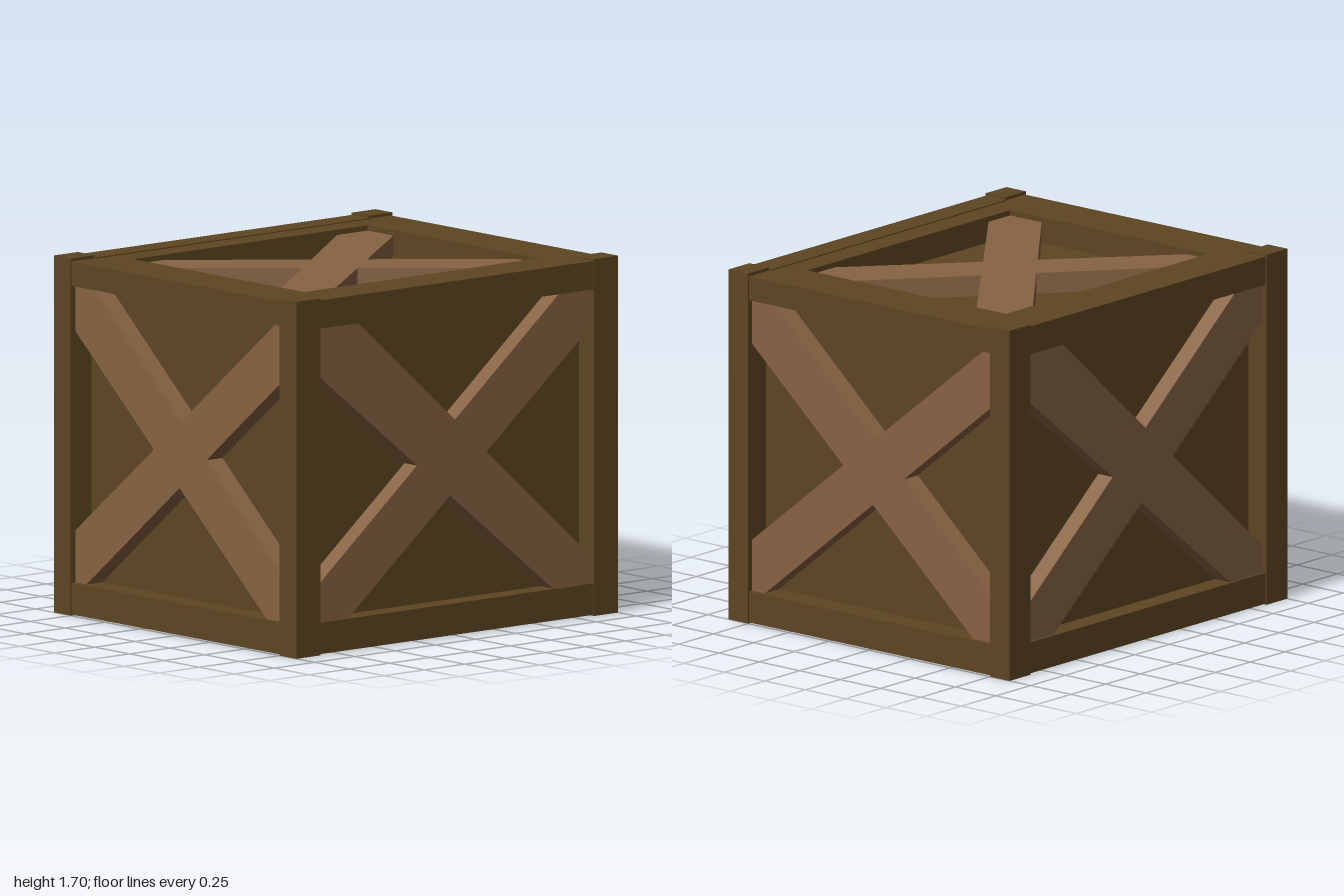
import * as THREE from 'three';

export function createModel() {
  const crate = new THREE.Group();
  crate.name = 'crate';
  const darkWood = new THREE.MeshStandardMaterial({ color: 0x5e4522 });
  darkWood.name = 'darkWood';
  const lightWood = new THREE.MeshStandardMaterial({ color: 0x876343 });
  lightWood.name = 'lightWood';

  // Box given by its minimum and maximum corners
  function box(name, a, b) {
    const mesh = new THREE.Mesh(new THREE.BoxGeometry(b[0] - a[0], b[1] - a[1], b[2] - a[2]), darkWood);
    mesh.position.set((a[0] + b[0]) / 2, (a[1] + b[1]) / 2, (a[2] + b[2]) / 2);
    mesh.name = name;
    crate.add(mesh);
  }

  // Recessed panels are the faces of the inner body
  box('panelBody', [-0.76, 0.14, -0.87], [0.76, 1.56, 0.87]);

  for (const sx of [-1, 1]) {
    const x0 = sx > 0 ? 0.75 : -0.87;
    for (const sz of [-1, 1]) {
      const z0 = sz > 0 ? 0.85 : -1;
      box('cornerPost', [x0, 0, z0], [x0 + 0.12, 1.7, z0 + 0.15]);
    }
    // Side rails along z
    const r0 = sx > 0 ? 0.74 : -0.865;
    box('lowerSideRail', [r0, 0.005, -0.85], [r0 + 0.125, 0.155, 0.85]);
    box('upperSideRail', [r0, 1.555, -0.85], [r0 + 0.125, 1.69, 0.85]);
  }
  for (const sz of [-1, 1]) {
    // End rails along x
    const z0 = sz > 0 ? 0.85 : -0.995;
    box('lowerEndRail', [-0.75, 0.005, z0], [0.75, 0.155, z0 + 0.145]);
    box('upperEndRail', [-0.75, 1.57, z0], [0.75, 1.685, z0 + 0.145]);
  }

  // Flat inner border on the lid and the base
  function border(name, y, height) {
    const shape = new THREE.Shape([[-0.75, -0.86], [0.75, -0.86], [0.75, 0.86], [-0.75, 0.86]].map(p => new THREE.Vector2(...p)));
    shape.holes.push(new THREE.Path([[-0.615, -0.73], [-0.615, 0.73], [0.615, 0.73], [0.615, -0.73]].map(p => new THREE.Vector2(...p))));
    const geo = new THREE.ExtrudeGeometry(shape, { depth: height, bevelEnabled: false });
    geo.rotateX(-Math.PI / 2);
    const mesh = new THREE.Mesh(geo, darkWood);
    mesh.position.y = y;
    mesh.name = name;
    crate.add(mesh);
  }
  border('lidBorder', 1.55, 0.135);
  border('baseBorder', 0.008, 0.142);

  // Crossed braces trimmed to an opening of half size w by h; each cut is
  // [distance of the brace edge along the top or bottom, along the side]
  function cross(name, w, h, depth, cuts) {
    const [tl, tr, br, bl] = cuts;
    const outlines = [
      [[-w, h], [-w, tl[1]], [br[0], -h], [w, -h], [w, br[1]], [tl[0], h]],
      [[w, h], [tr[0], h], [-w, bl[1]], [-w, -h], [bl[0], -h], [w, tr[1]]],
    ];
    const group = new THREE.Group();
    group.name = name;
    for (const pts of outlines) {
      const shape = new THREE.Shape(pts.map(p => new THREE.Vector2(...p)));
      const brace = new THREE.Mesh(new THREE.ExtrudeGeometry(shape, { depth, bevelEnabled: false }), lightWood);
      brace.name = 'brace';
      group.add(brace);
    }
    crate.add(group);
    return group;
  }

  const endCuts = [[-0.62, 0.49], [0.69, 0.45], [0.62, -0.5], [-0.67, -0.46]];
  const sideCuts = [[-0.6, 0.475], [0.65, 0.525], [0.61, -0.575], [-0.66, -0.525]];
  const lidCuts = [[-0.43, 0.54], [0.44, 0.53], [0.42, -0.575], [-0.48, -0.54]];

  for (const s of [1, -1]) {
    const turn = s > 0 ? 0 : Math.PI;
    const end = cross(s > 0 ? 'frontCross' : 'backCross', 0.75, 0.7075, 0.11, endCuts);
    end.position.set(0, 0.8625, s * 0.86);
    end.rotation.y = turn;

    const side = cross(s > 0 ? 'leftCross' : 'rightCross', 0.85, 0.7, 0.1, sideCuts);
    side.position.set(s * 0.75, 0.855, 0);
    side.rotation.y = Math.PI / 2 + turn;

    const lid = cross(s > 0 ? 'lidCross' : 'baseCross', 0.615, 0.73, 0.11, lidCuts);
    lid.position.y = s > 0 ? 1.55 : 0.15;
    lid.rotation.x = -Math.PI / 2 + turn;
  }
  return crate;
}
